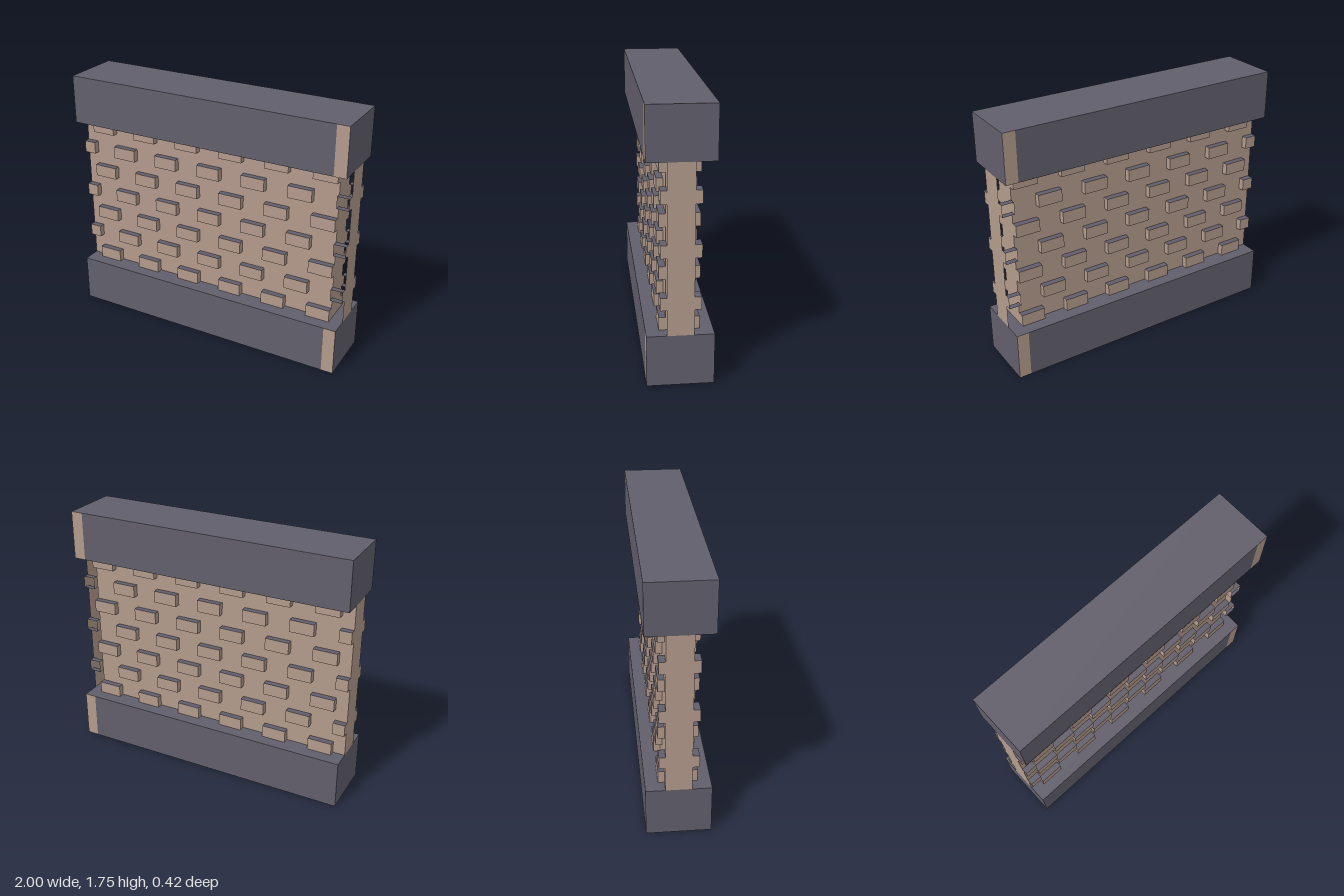
import * as THREE from 'three';

const U = 1 / 12; // modelling grid unit

export function createModel() {
  const root = new THREE.Group();
  root.name = 'brickWall';

  const stone = new THREE.MeshStandardMaterial({ color: 0x625f6c, side: THREE.DoubleSide });
  stone.name = 'slateGrey';
  const clay = new THREE.MeshStandardMaterial({ color: 0xb49b8d, side: THREE.DoubleSide });
  clay.name = 'dustyClay';

  const add = (name, geometry, material, x, y, z) => {
    const mesh = new THREE.Mesh(geometry, material);
    mesh.name = name;
    mesh.position.set(x, y, z);
    root.add(mesh);
    return mesh;
  };
  // Box given by its limits in grid units
  const box = (name, material, x0, x1, y0, y1, z0, z1) =>
    add(name, new THREE.BoxGeometry((x1 - x0) * U, (y1 - y0) * U, (z1 - z0) * U), material,
      (x0 + x1) * U / 2, (y0 + y1) * U / 2, (z0 + z1) * U / 2);
  // Flat sheet facing x (upright) or y (level)
  const sheet = (name, material, axis, x, y, z, w, h) => {
    const g = new THREE.PlaneGeometry(w * U, h * U);
    if (axis === 'x') g.rotateY(Math.PI / 2);
    else g.rotateX(-Math.PI / 2);
    return add(name, g, material, x * U, y * U, z * U);
  };

  // Base and top beams, with a clay strip on the front and back of the last column
  const stripFaces = [stone, stone, stone, stone, clay, clay];
  for (const [name, y] of [['baseBeam', 0], ['topBeam', 17]]) {
    box(name, stone, -12, 11, y, y + 4, -2.5, 2.5);
    box(name + 'End', stripFaces, 11, 12, y, y + 4, -2.5, 2.5);
  }

  // Wall core, and the free-standing end panel beyond its open last column
  box('wallCore', clay, -12, 11, 4, 17, -1, 1);
  sheet('endPanel', clay, 'x', 12, 10.5, 0, 2, 13);

  // Staggered raised bricks on both faces; tops and undersides are slate
  const brickFaces = [clay, clay, stone, stone, clay, clay];
  for (let row = 0; row < 7; row++) {
    const y = 4 + row * 2;
    const odd = row % 2 === 1;
    for (const s of [1, -1]) {
      const z0 = s > 0 ? 1 : -1.5;
      for (let x = odd ? -13 : -11; x < 11; x += 4) {
        box('brick', brickFaces, Math.max(x, -12), x + 2, y, y + 1, z0, z0 + 0.5);
      }
      // Open-faced half brick in the last column
      if (odd) {
        const z = s * 1.25;
        sheet('halfBrickTop', stone, 'y', 11.5, y + 1, z, 1, 0.5);
        sheet('halfBrickUnderside', stone, 'y', 11.5, y, z, 1, 0.5);
        sheet('halfBrickEnd', clay, 'x', 12, y + 0.5, z, 0.5, 1);
        sheet('halfBrickInnerSide', clay, 'x', 11, y + 0.5, z, 0.5, 1);
      }
    }
  }
  return root;
}
